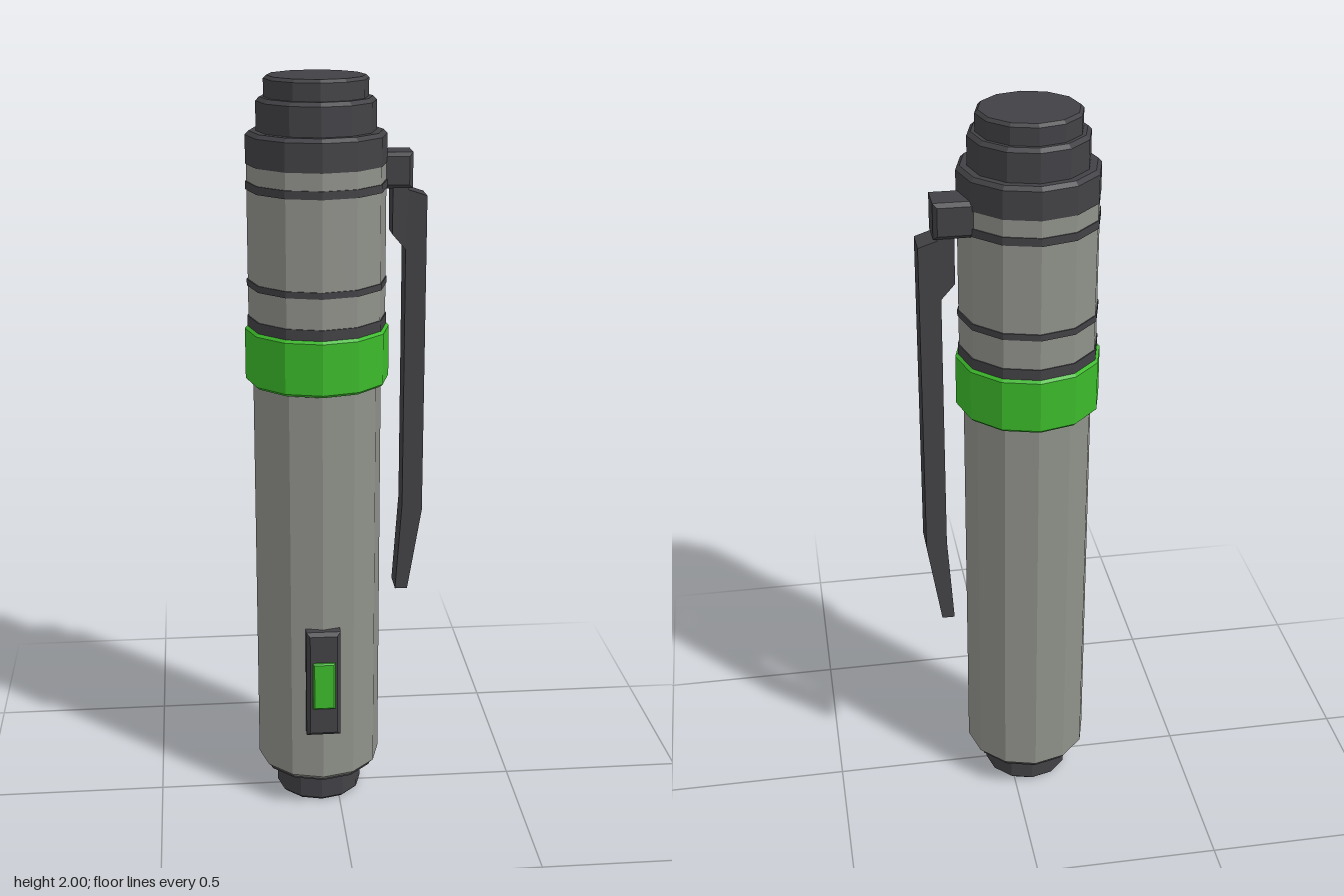
import * as THREE from 'three';

const AXIS_X = -0.05, AXIS_Z = -0.007, SIDES = 12;

function material(name, color) {
  const m = new THREE.MeshStandardMaterial({ color });
  m.name = name;
  return m;
}

// Split every face so that it gets its own flat normal
function faceted(geometry) {
  const g = geometry.index ? geometry.toNonIndexed() : geometry;
  g.computeVertexNormals();
  return g;
}

// Closed twelve-sided drum with chamfered bottom and top edges
function drum(radius, y0, y1, chamferBottom = 0, chamferTop = 0) {
  const pts = [[0, y0], [radius - chamferBottom, y0]];
  if (chamferBottom) pts.push([radius, y0 + chamferBottom]);
  if (chamferTop) pts.push([radius, y1 - chamferTop]);
  pts.push([radius - chamferTop, y1], [0, y1]);
  const g = new THREE.LatheGeometry(pts.map(p => new THREE.Vector2(...p)), SIDES);
  return faceted(g.translate(AXIS_X, 0, AXIS_Z));
}

// Extrude an outline between two z values, with all edges chamfered
function chamferedPlate(outline, z0, z1, c) {
  const shape = new THREE.Shape(outline.map(p => new THREE.Vector2(...p)));
  const g = new THREE.ExtrudeGeometry(shape, {
    depth: z1 - z0 - 2 * c, bevelEnabled: c > 0, bevelThickness: c,
    bevelSize: c, bevelOffset: -c, bevelSegments: 1,
  });
  return faceted(g.translate(0, 0, z0 + c));
}

function chamferedBox(x0, x1, y0, y1, z0, z1, c) {
  return chamferedPlate([[x0, y0], [x1, y0], [x1, y1], [x0, y1]], z0, z1, c);
}

export function createModel() {
  const grey = material('grey metal', 0x8f918a);
  const dark = material('dark plastic', 0x424246);
  const green = material('green accent', 0x3cba2b);

  const model = new THREE.Group();
  model.name = 'penDevice';
  const add = (name, geometry, mat) => {
    const mesh = new THREE.Mesh(geometry, mat);
    mesh.name = name;
    model.add(mesh);
  };

  // Barrel and tip
  add('tip', drum(0.118, 0, 0.12, 0.008), dark);
  add('tipCollar', drum(0.157, 0.087, 0.11), dark);
  add('barrel', drum(0.17, 0.092, 1.25, 0.012), grey);
  add('accentRing', drum(0.19, 1.208, 1.357, 0.007, 0.007), green);

  // Cap with dark bands
  add('cap', drum(0.18, 1.34, 1.79), grey);
  [[1.35, 1.385], [1.465, 1.482], [1.715, 1.736]].forEach(([y0, y1], i) =>
    add('capBand' + (i + 1), drum(0.183, y0, y1), dark));

  // Stepped top
  add('topCollar', drum(0.182, 1.78, 1.863, 0, 0.01), dark);
  add('topStep', drum(0.154, 1.85, 1.947, 0, 0.01), dark);
  add('topButton', drum(0.134, 1.93, 2, 0, 0.008), dark);

  // Pocket clip
  add('clipMount', chamferedBox(0.08, 0.2, 1.71, 1.803, -0.101, -0.004, 0.01), dark);
  add('clip', chamferedPlate([
    [0.148, 1.59], [0.183, 1.55], [0.183, 0.84], [0.166, 0.59], [0.2, 0.59],
    [0.238, 0.823], [0.238, 1.69], [0.19, 1.706], [0.19, 1.72], [0.148, 1.72],
  ], -0.091, -0.012, 0), dark);

  // Front switch
  add('switchPlate', chamferedBox(-0.097, -0.004, 0.245, 0.552, 0.12, 0.187, 0.01), dark);
  add('switchButton', chamferedBox(-0.08, -0.02, 0.33, 0.466, 0.16, 0.196, 0.004), green);

  return model;
}
